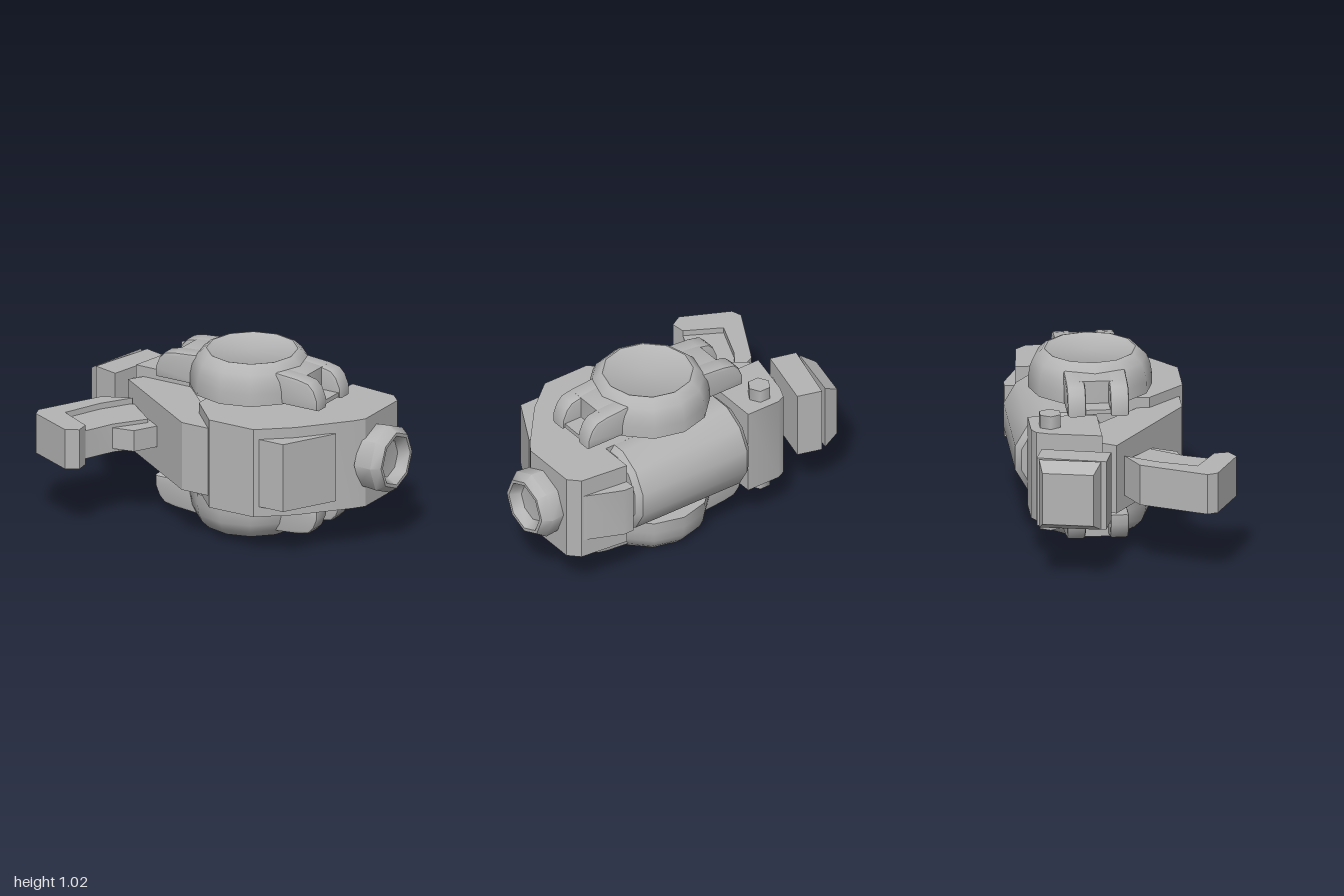
import * as THREE from 'three';
import { toCreasedNormals } from 'three/addons/utils/BufferGeometryUtils.js';

const MID = 0.518; // height of the symmetry plane

export function createModel() {
  const model = new THREE.Group();
  const grey = new THREE.MeshStandardMaterial({ color: 0xb4b4b4 });
  grey.name = 'grey';

  const add = (parent, name, geo, crease = 0.5) => {
    const mesh = new THREE.Mesh(toCreasedNormals(geo, crease), grey);
    mesh.name = name;
    parent.add(mesh);
    return mesh;
  };
  // Upright prism from an [x, z] outline, centred on the symmetry plane
  const prism = (pts, half) => {
    const shape = new THREE.Shape(pts.map(([x, z]) => new THREE.Vector2(x, -z)));
    return new THREE.ExtrudeGeometry(shape, { depth: half * 2, bevelEnabled: false })
      .rotateX(-Math.PI / 2).translate(0, MID - half, 0);
  };
  const lathe = (pts, sides) =>
    new THREE.LatheGeometry(pts.map(([r, y]) => new THREE.Vector2(r, y)), sides);

  // Central hull with its cheek panels
  add(model, 'hull', prism([[-0.05, -0.33], [-0.05, 0.17], [0.14, 0.37], [0.43, 0.37], [0.61, 0.22],
    [0.83, -0.04], [0.87, -0.1], [0.87, -0.44], [0.81, -0.5], [0.52, -0.53], [0.52, -0.33]], 0.26));
  add(model, 'leftFrontPlate', prism([[-0.66, -0.07], [-0.05, 0.35], [0.13, 0.35], [-0.05, 0.1],
    [-0.3, -0.15], [-0.61, -0.15]], 0.2));
  add(model, 'rightFrontPanel', prism([[0.44, 0.35], [0.61, 0.35], [0.77, 0.05], [0.5, 0.1]], 0.2));
  add(model, 'rightRearPanel', prism([[0.52, -0.59], [0.58, -0.59], [0.8, -0.5], [0.52, -0.48]], 0.15));

  // Rear drum lying along x
  const drum = lathe([[0, -0.29], [0.235, -0.29], [0.269, -0.255], [0.269, 0.46], [0.235, 0.49], [0, 0.49]], 12)
    .rotateY(Math.PI / 12).rotateZ(-Math.PI / 2).translate(0, MID, -0.34);
  add(model, 'rearDrum', drum, 0.6);

  // Side knob with a dished end
  const knob = lathe([[0.19, 0.84], [0.2, 0.95], [0.165, 1], [0.145, 1], [0.11, 0.94], [0, 0.93]], 8)
    .rotateZ(-Math.PI / 2).translate(0, MID, -0.22);
  add(model, 'sideKnob', knob, 0.85);

  // Hinge block and its pin
  add(model, 'hingeBlock', prism([[-0.66, -0.15], [-0.6, -0.44], [-0.57, -0.51], [-0.52, -0.535],
    [-0.31, -0.535], [-0.31, -0.15]], 0.26));
  add(model, 'hingePin', new THREE.CylinderGeometry(0.066, 0.066, 0.67, 6)
    .rotateY(Math.PI / 6).translate(-0.465, MID, -0.425), 1.1);

  // Tilted end slabs
  add(model, 'slabNeck', prism([[-0.65, -0.4], [-0.59, -0.38], [-0.64, -0.15], [-0.72, -0.21]], 0.15));
  add(model, 'innerSlab', prism([[-0.82, -0.53], [-0.68, -0.49], [-0.77, -0.11], [-0.92, -0.15]], 0.2));
  const outer = prism([[-0.94, -0.51], [-0.85, -0.52], [-0.92, -0.18], [-1, -0.23]], 0.2);
  const p = outer.attributes.position;
  for (let i = 0; i < p.count; i++) { // narrow the outward face
    if (-0.97 * p.getX(i) - 0.22 * p.getZ(i) > 1) p.setY(i, MID + (p.getY(i) - MID) * 0.75);
  }
  add(model, 'outerSlab', outer);

  // Bent forward arm: thick outer rim, thinner inside
  add(model, 'armRim', prism([[-0.6, -0.02], [-0.76, 0.05], [-0.95, 0.41], [-0.93, 0.47], [-0.66, 0.6],
    [-0.59, 0.56], [-0.6, 0.48], [-0.8, 0.37], [-0.71, 0.15]], 0.117));
  add(model, 'armCore', prism([[-0.59, -0.02], [-0.73, 0.1], [-0.82, 0.38], [-0.6, 0.48],
    [-0.525, 0.31], [-0.4, 0.14]], 0.083));
  add(model, 'armNeck', prism([[-0.54, 0.315], [-0.4, 0.29], [-0.33, 0.16], [-0.45, 0.08]], 0.062));

  // Dished cap with a clawed arm on each side
  const makeCap = () => {
    const cap = new THREE.Group();
    add(cap, 'capDisc', lathe([[0, 0.292], [0.347, 0.292], [0.345, 0.36], [0.335, 0.42], [0.315, 0.465],
      [0.27, 0.508], [0.255, 0.512], [0.24, 0.502], [0, 0.5]], 12), 0.65);
    const profile = (pts, z, depth) => {
      const bevel = 0.015;
      return new THREE.ExtrudeGeometry(new THREE.Shape(pts.map(([x, y]) => new THREE.Vector2(x, y))), {
        depth: depth - 2 * bevel, bevelSize: bevel, bevelThickness: bevel, bevelOffset: -bevel, bevelSegments: 2,
      }).translate(0, 0, z - depth / 2 + bevel);
    };
    for (const side of [0, Math.PI]) {
      const arm = new THREE.Group();
      arm.name = 'capArm';
      arm.rotation.y = side;
      add(arm, 'armBody', profile([[0.2, 0.292], [0.41, 0.292], [0.41, 0.458], [0.3, 0.468], [0.2, 0.475]], 0, 0.3), 0.7);
      for (const z of [-0.12, 0.12]) {
        add(arm, 'prong', profile([[0.22, 0.292], [0.53, 0.292], [0.53, 0.35], [0.505, 0.41], [0.47, 0.445],
          [0.4, 0.46], [0.3, 0.468], [0.22, 0.475]], z, 0.105), 0.7);
      }
      add(arm, 'crossBar', new THREE.BoxGeometry(0.14, 0.025, 0.15).translate(0.45, 0.315, 0));
      cap.add(arm);
    }
    cap.position.set(0.1, MID, -0.15);
    return cap;
  };
  const topCap = makeCap();
  topCap.name = 'topCap';
  const bottomCap = makeCap();
  bottomCap.name = 'bottomCap';
  bottomCap.rotation.x = Math.PI;
  model.add(topCap, bottomCap);

  return model;
}
